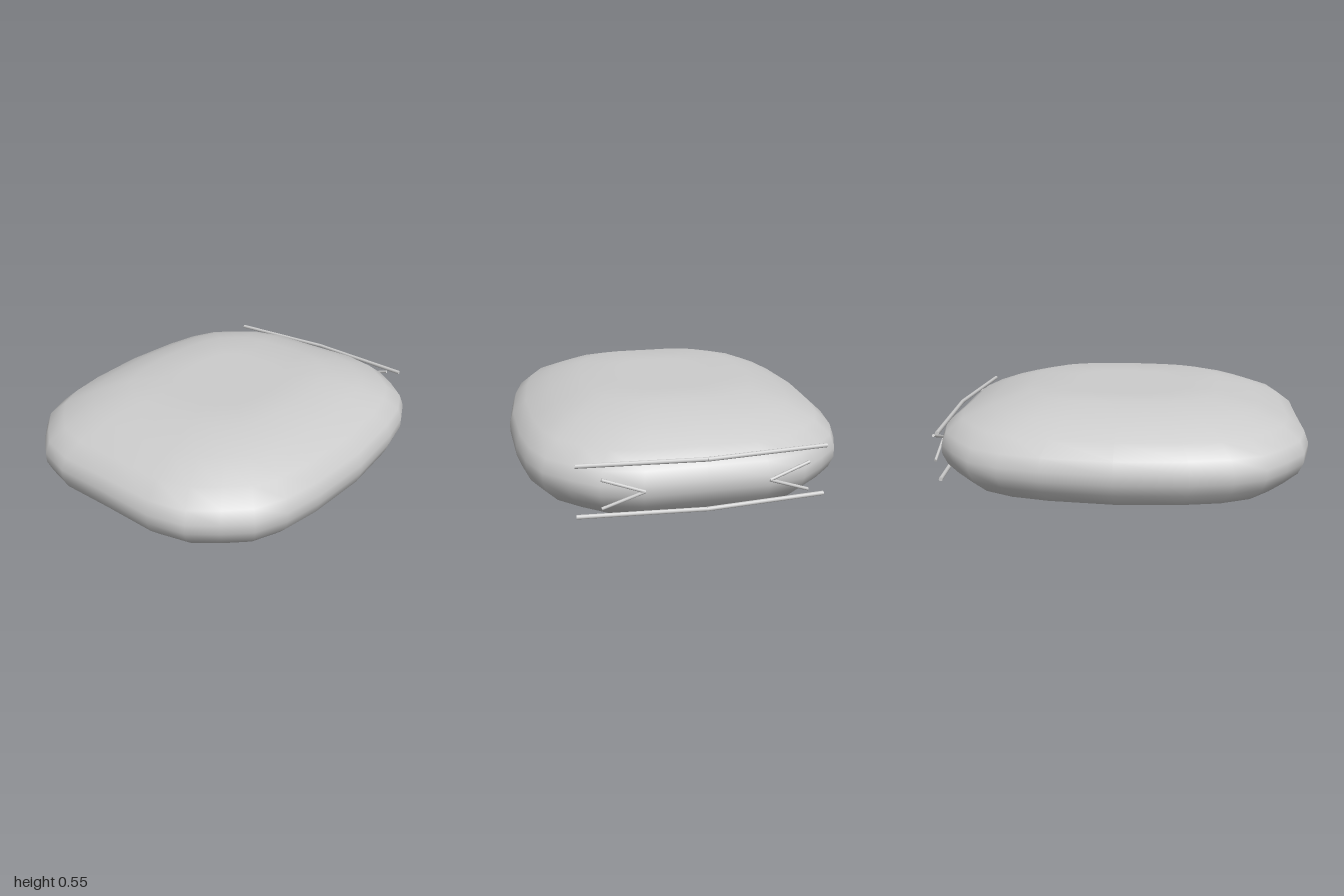
import * as THREE from 'three';

const material = new THREE.MeshStandardMaterial({ color: 0xcccccc, roughness: 0.8 });

// One quarter of the plan outline, from the side (+x) round to the front (+z)
const QUARTER = [[0.87, 0], [0.845, 0.36], [0.805, 0.57], [0.735, 0.73],
  [0.62, 0.84], [0.49, 0.94], [0.3, 0.99], [0, 0.987]];

// Height and scale of each ring, bottom to top
const RINGS = [[0, 0], [0, 0.3], [0, 0.56], [0.055, 0.73], [0.12, 0.905], [0.19, 0.975], [0.25, 1],
  [0.3, 1], [0.365, 0.975], [0.43, 0.89], [0.49, 0.735], [0.545, 0.53], [0.545, 0.3], [0.545, 0]];

// Mirror the quarter into a full closed outline
function fullOutline() {
  const half = [...QUARTER, ...QUARTER.slice(0, -1).reverse().map(([x, z]) => [-x, z])];
  return [...half, ...half.slice(1, -1).reverse().map(([x, z]) => [x, -z])];
}

// Soft cushion body: scaled copies of the outline joined into a skin
function bodyGeometry() {
  const outline = fullOutline();
  const n = outline.length;
  const positions = [];
  const index = [];
  RINGS.forEach(([y, s], r) => {
    outline.forEach(([x, z], i) => {
      positions.push(x * s, y, z * s);
      if (r === RINGS.length - 1) return;
      const a = r * n + i;
      const b = r * n + (i + 1) % n;
      if (RINGS[r + 1][1] > 0) index.push(a, a + n, b + n);
      else index.push(a, a + n, b);
      if (RINGS[r][1] > 0 && RINGS[r + 1][1] > 0) index.push(a, b + n, b);
    });
  });
  const geometry = new THREE.BufferGeometry();
  geometry.setAttribute('position', new THREE.Float32BufferAttribute(positions, 3));
  geometry.setIndex(index);
  geometry.computeVertexNormals();
  return geometry;
}

// Thin rod through a few points with sharp bends
function rod(name, points, radius) {
  const path = new THREE.CurvePath();
  const v = points.map((p) => new THREE.Vector3(...p));
  const group = new THREE.Group();
  group.name = name;
  for (let i = 0; i < v.length - 1; i++) {
    const dir = v[i + 1].clone().sub(v[i]);
    const mesh = new THREE.Mesh(new THREE.CylinderGeometry(radius, radius, dir.length(), 8), material);
    mesh.name = name + 'Segment';
    mesh.position.copy(v[i]).addScaledVector(dir, 0.5);
    mesh.quaternion.setFromUnitVectors(new THREE.Vector3(0, 1, 0), dir.normalize());
    group.add(mesh);
  }
  return group;
}

export function createModel() {
  const model = new THREE.Group();
  model.name = 'cushion';

  const body = new THREE.Mesh(bodyGeometry(), material);
  body.name = 'body';
  model.add(body);

  // Long bent rods across the back, above and below
  for (const [name, y] of [['upperBackRod', 0.4], ['lowerBackRod', 0.15]]) {
    model.add(rod(name, [[-0.6, y, -0.92], [0, y, -0.967], [0.6, y, -0.92]], 0.011));
  }

  // Small V-shaped rods between them, pointing to the middle
  for (const side of [1, -1]) {
    model.add(rod(side > 0 ? 'leftBackChevron' : 'rightBackChevron',
      [[side * 0.49, 0.35, -0.98], [side * 0.295, 0.28, -0.992], [side * 0.49, 0.21, -0.98]], 0.008));
  }
  return model;
}
